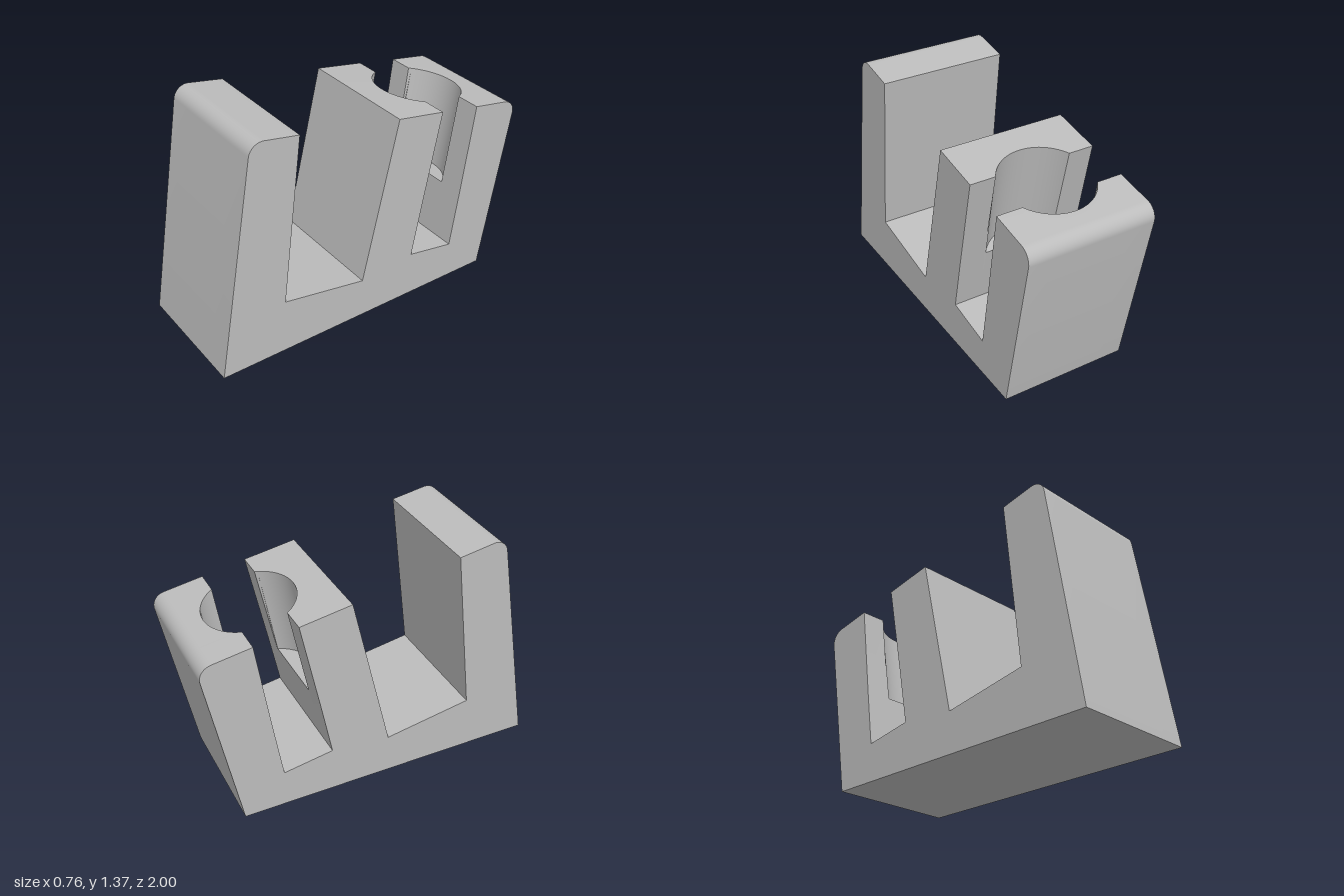
import * as THREE from 'three';
import { toCreasedNormals } from 'three/addons/utils/BufferGeometryUtils.js';

const HALF_WIDTH = 0.38;
const TILT = THREE.MathUtils.degToRad(10);
const BORE = { r: 0.262, z: -0.488, y: 0.597, depth: 0.558, gapTop: 0.128, gapFloor: 0.143 };

// Point in the leaning frame of the round bore: u towards the back, v along its axis
function borePoint(u, v) {
  const s = Math.sin(TILT), c = Math.cos(TILT);
  return new THREE.Vector2(BORE.z - c * u - s * v, BORE.y - s * u + c * v);
}

// Rounded corner between the edges coming from `from` and leading to `to`
function roundCorner(from, corner, to, r, steps = 10) {
  const C = new THREE.Vector2(...corner);
  const d1 = new THREE.Vector2(...from).sub(C).normalize();
  const d2 = new THREE.Vector2(...to).sub(C).normalize();
  const centre = C.clone().addScaledVector(d1, r).addScaledVector(d2, r);
  return Array.from({ length: steps + 1 }, (_, i) => {
    const a = (i / steps) * Math.PI / 2;
    return centre.clone().addScaledVector(d2, -r * Math.cos(a)).addScaledVector(d1, -r * Math.sin(a));
  });
}

// Side profile (z, y) at a given x; the bore widens the rear slot near the middle
function section(x) {
  const h = Math.sqrt(Math.max(0, BORE.r ** 2 - x * x));
  const top = Math.max(h, BORE.gapTop), floor = Math.max(h, BORE.gapFloor);
  const v = (z, y) => new THREE.Vector2(z, y);
  return [
    // front post
    v(1, 0),
    ...roundCorner([1, 0], [0.765, 1.385], [0.48, 1.335], 0.08),
    v(0.48, 1.335), v(0.595, 0.335),
    // middle post with its half of the bore
    v(0.075, 0.245), v(-0.155, 1.22),
    borePoint(-top, BORE.depth), borePoint(-floor, 0), borePoint(-BORE.gapFloor, 0),
    v(-0.28, 0.28), v(-0.575, 0.23),
    // rear post with the other half
    borePoint(BORE.gapFloor, 0), borePoint(floor, 0), borePoint(top, BORE.depth),
    ...roundCorner([-0.71, 1.125], [-1.015, 1.073], [-0.82, 0], 0.08),
    v(-0.82, 0),
  ];
}

function holderGeometry() {
  // Stations across the width, dense where the bore curves
  const edgeTop = Math.sqrt(BORE.r ** 2 - BORE.gapTop ** 2);
  const edgeFloor = Math.sqrt(BORE.r ** 2 - BORE.gapFloor ** 2);
  const maxAngle = Math.asin(edgeFloor / BORE.r);
  const xs = [-HALF_WIDTH, -edgeTop];
  const steps = 24;
  for (let i = 0; i <= steps; i++) xs.push(BORE.r * Math.sin(maxAngle * (2 * i / steps - 1)));
  xs.push(edgeTop, HALF_WIDTH);

  const rings = xs.map((x) => section(x).map((p) => new THREE.Vector3(x, p.y, p.x)));
  const positions = [];
  const normal = new THREE.Vector3(), side = new THREE.Vector3();
  const tri = (a, b, c, facing = 0) => {
    normal.subVectors(b, a).cross(side.subVectors(c, a));
    if (normal.length() < 1e-8) return;
    const order = facing * normal.x < 0 ? [a, c, b] : [a, b, c];
    order.forEach((p) => positions.push(p.x, p.y, p.z));
  };

  // Skin between neighbouring sections
  for (let k = 0; k < rings.length - 1; k++) {
    const A = rings[k], B = rings[k + 1];
    for (let i = 0; i < A.length; i++) {
      const j = (i + 1) % A.length;
      tri(A[i], B[i], B[j]);
      tri(A[i], B[j], A[j]);
    }
  }

  // Flat sides
  const faces = THREE.ShapeUtils.triangulateShape(section(HALF_WIDTH), []);
  for (const [ring, facing] of [[rings[0], -1], [rings[rings.length - 1], 1]]) {
    faces.forEach(([a, b, c]) => tri(ring[a], ring[b], ring[c], facing));
  }

  const geometry = new THREE.BufferGeometry();
  geometry.setAttribute('position', new THREE.Float32BufferAttribute(positions, 3));
  return toCreasedNormals(geometry, 0.5);
}

export function createModel() {
  const grey = new THREE.MeshStandardMaterial({ color: 0xbcbcbc });
  grey.name = 'light grey';
  const holder = new THREE.Mesh(holderGeometry(), grey);
  holder.name = 'slottedHolder';
  const group = new THREE.Group();
  group.name = 'holder';
  group.add(holder);
  return group;
}
